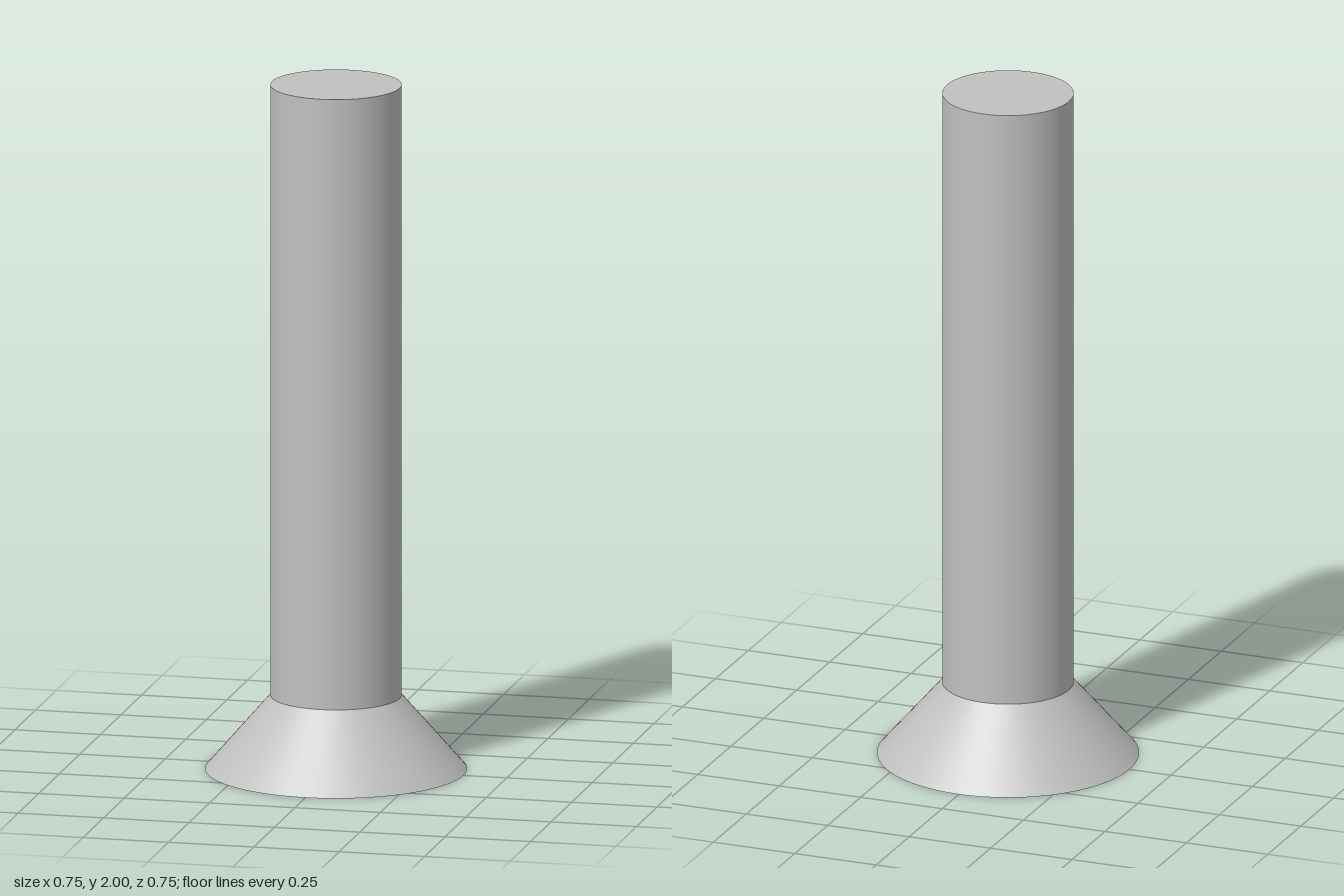
import * as THREE from 'three';

const SEGMENTS = 96;
const HEAD_RADIUS = 0.373, SHANK_RADIUS = 0.187;
const HEAD_HEIGHT = 0.215, LENGTH = 2;
const SOCKET_RADIUS = 0.14, SOCKET_DEPTH = 0.18;

export function createModel() {
  const group = new THREE.Group();
  const steel = new THREE.MeshStandardMaterial({ color: 0xc0c0c0 });
  steel.name = 'steel';

  const add = (name, geometry, y = 0) => {
    const mesh = new THREE.Mesh(geometry, steel);
    mesh.name = name;
    mesh.position.y = y;
    group.add(mesh);
  };

  // Plain cylindrical shank with a flat end
  const shankLength = LENGTH - HEAD_HEIGHT;
  add('shank', new THREE.CylinderGeometry(SHANK_RADIUS, SHANK_RADIUS, shankLength, SEGMENTS, 1, true),
    HEAD_HEIGHT + shankLength / 2);
  add('shankEnd', new THREE.CircleGeometry(SHANK_RADIUS, SEGMENTS).rotateX(-Math.PI / 2), LENGTH);

  // Countersunk conical head
  add('headCone', new THREE.CylinderGeometry(SHANK_RADIUS, HEAD_RADIUS, HEAD_HEIGHT, SEGMENTS, 1, true),
    HEAD_HEIGHT / 2);

  // Flat head face with a hexagonal opening, corners on the z axis
  const face = new THREE.Shape().absarc(0, 0, HEAD_RADIUS, 0, Math.PI * 2);
  const corners = Array.from({ length: 6 }, (_, i) => {
    const a = i * Math.PI / 3;
    return new THREE.Vector2(Math.sin(a) * SOCKET_RADIUS, Math.cos(a) * SOCKET_RADIUS);
  });
  face.holes.push(new THREE.Path(corners));
  add('headFace', new THREE.ShapeGeometry(face, SEGMENTS).rotateX(Math.PI / 2));

  // Socket walls, mirrored so that they face inward
  const walls = new THREE.CylinderGeometry(SOCKET_RADIUS, SOCKET_RADIUS, SOCKET_DEPTH, 6, 1, true)
    .scale(-1, 1, 1).toNonIndexed();
  walls.computeVertexNormals();
  add('socketWalls', walls, SOCKET_DEPTH / 2);

  // Socket floor
  add('socketFloor', new THREE.CircleGeometry(SOCKET_RADIUS, 6, Math.PI / 2).rotateX(Math.PI / 2), SOCKET_DEPTH);

  return group;
}
